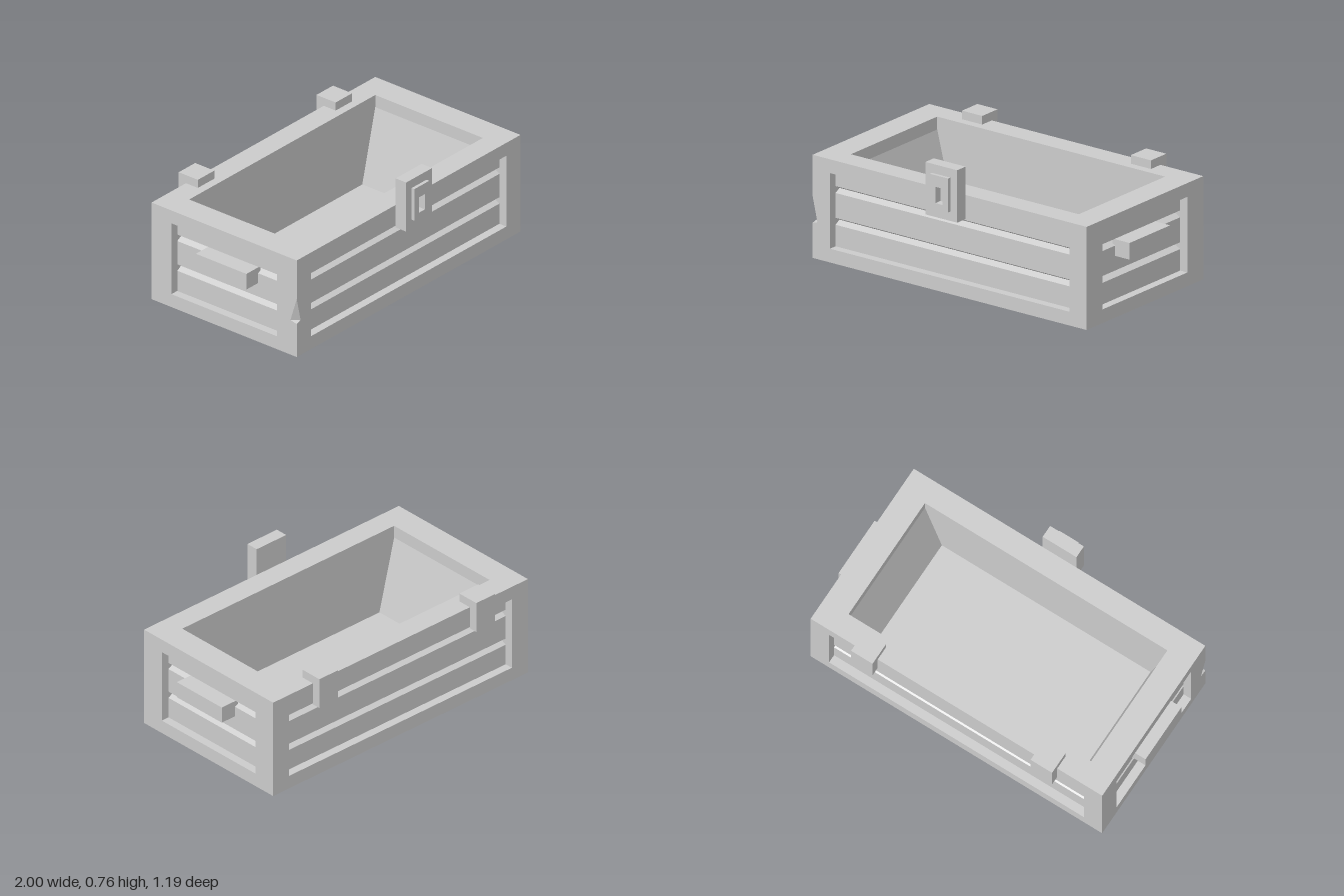
import * as THREE from 'three';

const mat = new THREE.MeshStandardMaterial({ color: 0xcccccc, flatShading: true });

function add(parent, name, geo) {
  const mesh = new THREE.Mesh(geo, mat);
  mesh.name = name;
  parent.add(mesh);
  return mesh;
}

// box given by its limits on each axis
function box(parent, name, x0, x1, y0, y1, z0, z1) {
  const geo = new THREE.BoxGeometry(x1 - x0, y1 - y0, z1 - z0);
  geo.translate((x0 + x1) / 2, (y0 + y1) / 2, (z0 + z1) / 2);
  return add(parent, name, geo);
}

const polygon = (pts) => new THREE.Shape(pts.map(([x, y]) => new THREE.Vector2(x, y)));

function rectangle(x0, x1, y0, y1) {
  return polygon([[x0, y0], [x1, y0], [x1, y1], [x0, y1]]);
}

function extrude(shape, depth) {
  return new THREE.ExtrudeGeometry(shape, { depth, bevelEnabled: false });
}

// profile swept along z, centred on z = 0
const sweep = (pts, length) => extrude(polygon(pts), length).translate(0, 0, -length / 2);

// plank wall section: flat inside, two V grooves outside
function plankProfile(inner, outer) {
  const pts = [[inner, 0.08], [outer, 0.08]];
  for (const y of [0.225, 0.41]) {
    pts.push([outer, y - 0.02], [outer - 0.035, y], [outer, y + 0.02]);
  }
  pts.push([outer, 0.52], [inner, 0.52]);
  return pts;
}

// corner post with a chip knocked out of its outer edge
function chippedPost() {
  const levels = [[0.08, 0], [0.205, 0], [0.215, 1], [0.36, 0], [0.52, 0]];
  const pos = [], index = [];
  for (const [y, cut] of levels) {
    pos.push(-0.95 + 0.033 * cut, y, 0.52, -0.83, y, 0.52, -0.83, y, 0.3775,
      -0.95, y, 0.3775, -0.95, y, 0.52 - 0.045 * cut);
  }
  for (let r = 0; r < levels.length - 1; r++) {
    for (let i = 0; i < 5; i++) {
      const a = r * 5 + i, b = r * 5 + (i + 1) % 5;
      index.push(a, b, b + 5, a, b + 5, a + 5);
    }
  }
  const geo = new THREE.BufferGeometry();
  geo.setAttribute('position', new THREE.Float32BufferAttribute(pos, 3));
  geo.setIndex(index);
  const flat = geo.toNonIndexed();
  flat.computeVertexNormals();
  return flat;
}

export function createModel() {
  const model = new THREE.Group();
  model.name = 'openChest';

  // body is symmetric about its own centre
  const body = new THREE.Group();
  body.name = 'body';
  body.position.z = -0.02;
  model.add(body);

  box(body, 'base', -0.95, 0.95, 0, 0.08, -0.52, 0.52);
  box(body, 'floor', -0.8, 0.8, 0.07, 0.09, -0.39, 0.39);

  // rim
  const rim = rectangle(-0.95, 0.95, -0.52, 0.52);
  rim.holes.push(rectangle(-0.79, 0.79, -0.385, 0.385));
  add(body, 'rim', extrude(rim, 0.08).rotateX(-Math.PI / 2).translate(0, 0.52, 0));

  // corner posts
  box(body, 'cornerPost', 0.83, 0.95, 0.08, 0.52, 0.3775, 0.52);
  box(body, 'cornerPost', 0.83, 0.95, 0.08, 0.52, -0.52, -0.3775);
  box(body, 'cornerPost', -0.95, -0.83, 0.08, 0.52, -0.52, -0.3775);
  add(body, 'chippedCornerPost', chippedPost());

  // plank walls, sloped inner ends and handles
  for (const turn of [0, Math.PI]) {
    const end = new THREE.Group();
    end.name = 'end';
    end.rotation.y = turn;
    body.add(end);
    add(end, 'endPlanks', sweep(plankProfile(0.79, 0.9), 0.77));
    add(end, 'innerSlope', sweep([[0.68, 0.09], [0.79, 0.09], [0.79, 0.525]], 0.77));

    const long = add(body, 'longPlanks', sweep(plankProfile(0.385, 0.47), 1.66));
    long.rotation.y = turn - Math.PI / 2;
  }
  box(model, 'leftHandle', 0.88, 1, 0.33, 0.427, -0.18, 0.182);
  box(model, 'rightHandle', -1, -0.88, 0.33, 0.427, -0.18, 0.182);

  // lock with keyhole
  const lock = new THREE.Group();
  lock.name = 'lock';
  model.add(lock);
  box(lock, 'lockBack', -0.11, 0.11, 0.46, 0.765, 0.5, 0.55);
  const keyhole = rectangle(-0.025, 0.025, 0.55, 0.645);
  const front = rectangle(-0.11, 0.11, 0.46, 0.765);
  front.holes.push(keyhole);
  add(lock, 'lockFront', extrude(front, 0.025).translate(0, 0, 0.55));
  const plate = rectangle(-0.063, 0.063, 0.515, 0.712);
  plate.holes.push(keyhole);
  add(lock, 'keyholePlate', extrude(plate, 0.02).translate(0, 0, 0.575));

  // L-shaped hinges wrapped over the back edge
  const hinge = [[0.455, 0.6], [0.54, 0.6], [0.54, 0.465], [0.592, 0.465], [0.592, 0.65], [0.455, 0.65]];
  for (const x of [-0.587, 0.583]) {
    const mesh = add(model, 'hinge', sweep(hinge, 0.14));
    mesh.rotation.y = Math.PI / 2;
    mesh.position.x = x;
  }
  return model;
}
